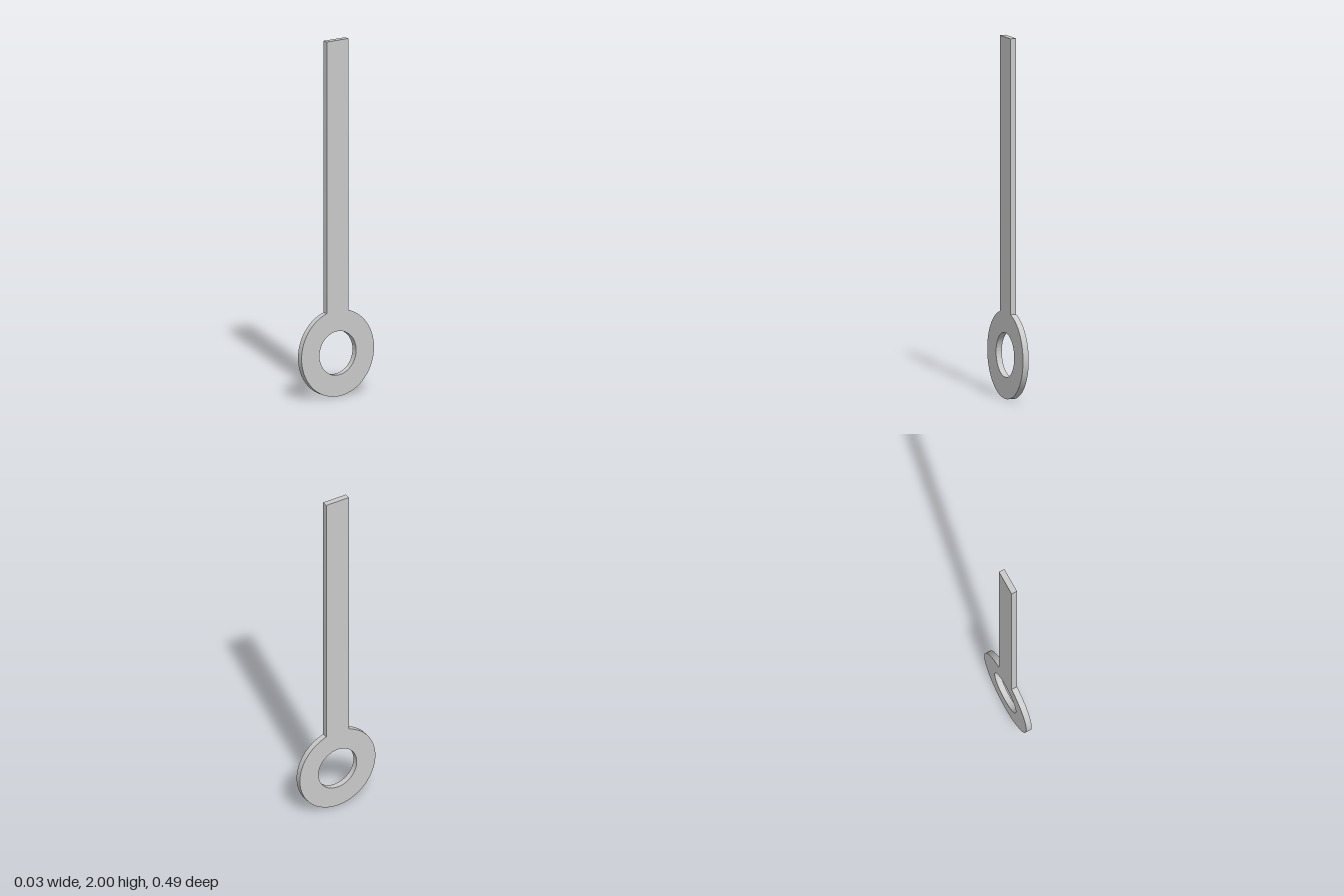
import * as THREE from 'three';
import { toCreasedNormals } from 'three/addons/utils/BufferGeometryUtils.js';

const RING_RADIUS = 0.243;
const HOLE_RADIUS = 0.123;
const BAR_HALF_WIDTH = 0.073;
const THICKNESS = 0.034;
const HEIGHT = 2;

export function createModel() {
  const model = new THREE.Group();
  model.name = 'eyeBar';

  const greyMetal = new THREE.MeshStandardMaterial({ color: 0xcacaca });
  greyMetal.name = 'grey metal';

  // Outline: straight bar running into a round eye at the bottom
  const join = Math.asin(BAR_HALF_WIDTH / RING_RADIUS);
  const outline = new THREE.Shape();
  outline.moveTo(-BAR_HALF_WIDTH, HEIGHT);
  outline.lineTo(BAR_HALF_WIDTH, HEIGHT);
  outline.lineTo(BAR_HALF_WIDTH, RING_RADIUS * (1 + Math.cos(join)));
  outline.absarc(0, RING_RADIUS, RING_RADIUS, Math.PI / 2 - join, Math.PI / 2 + join, true);
  outline.closePath();

  // Round hole through the eye
  const hole = new THREE.Path();
  hole.absarc(0, RING_RADIUS, HOLE_RADIUS, 0, Math.PI * 2, false);
  outline.holes.push(hole);

  // Flat plate, turned so its faces point left and right
  const plate = new THREE.ExtrudeGeometry(outline, {
    depth: THICKNESS,
    bevelEnabled: false,
    curveSegments: 48,
  });
  plate.translate(0, 0, -THICKNESS / 2);
  plate.rotateY(Math.PI / 2);

  const bar = new THREE.Mesh(toCreasedNormals(plate, 0.5), greyMetal);
  bar.name = 'barWithEye';
  model.add(bar);
  return model;
}
